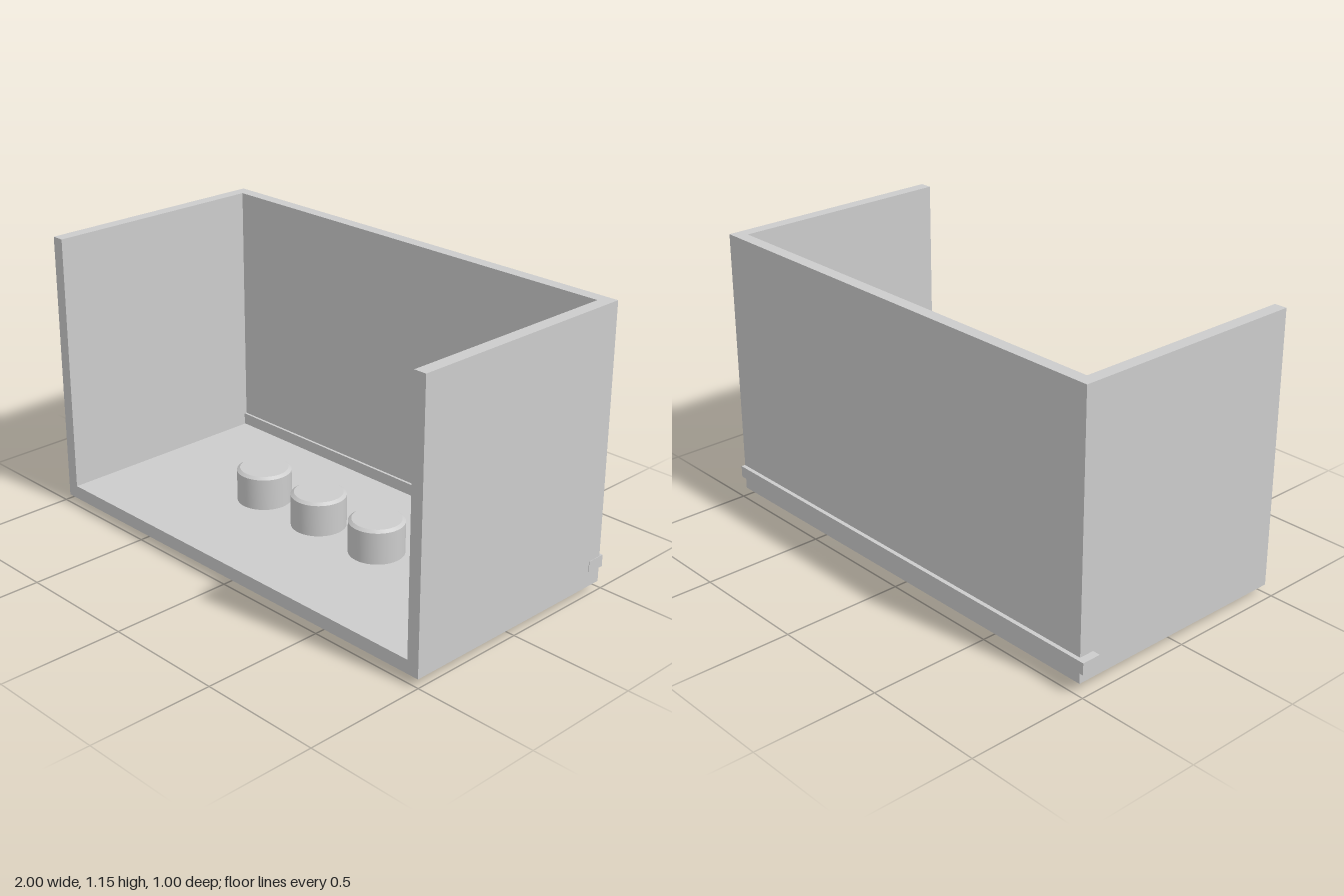
import * as THREE from 'three';
import { toCreasedNormals } from 'three/addons/utils/BufferGeometryUtils.js';

export function createModel() {
  const model = new THREE.Group();
  const material = new THREE.MeshStandardMaterial({ color: 0xcccccc });

  // Box given by its lower and upper corners
  function addBox(name, [x0, y0, z0], [x1, y1, z1]) {
    const mesh = new THREE.Mesh(new THREE.BoxGeometry(x1 - x0, y1 - y0, z1 - z0), material);
    mesh.name = name;
    mesh.position.set((x0 + x1) / 2, (y0 + y1) / 2, (z0 + z1) / 2);
    model.add(mesh);
  }

  const left = 0.998, right = -0.968, front = 0.5, back = -0.483;
  const bottom = 0.035, floorTop = 0.09, top = 1.147, wall = 0.051;

  addBox('floor', [right, bottom, back], [left, floorTop, front]);

  // U-shaped walls, open at the front; shape y becomes -z
  const plan = new THREE.Shape([
    [right, -front], [right + wall, -front], [right + wall, -back - wall],
    [left - wall, -back - wall], [left - wall, -front], [left, -front],
    [left, -back], [right, -back],
  ].map(([x, y]) => new THREE.Vector2(x, y)));
  const wallGeometry = new THREE.ExtrudeGeometry(plan, { depth: top - floorTop, bevelEnabled: false });
  wallGeometry.rotateX(-Math.PI / 2);
  const walls = new THREE.Mesh(wallGeometry, material);
  walls.name = 'walls';
  walls.position.y = floorTop;
  model.add(walls);

  // Rail running through the back wall, poking out on the right
  addBox('backRail', [-1, floorTop + 0.002, -0.5], [1, 0.14, -0.421]);

  // Three bevelled plugs passing through the floor
  const profile = [[0, 0], [0.11, 0], [0.11, 0.22], [0.097, 0.23], [0, 0.23]]
    .map(([r, y]) => new THREE.Vector2(r, y));
  const plugGeometry = toCreasedNormals(new THREE.LatheGeometry(profile, 48), 0.5);
  [-0.302, 0.013, 0.33].forEach((x, i) => {
    const plug = new THREE.Mesh(plugGeometry, material);
    plug.name = `plug${i + 1}`;
    plug.position.set(x, 0, 0.017);
    model.add(plug);
  });

  return model;
}
